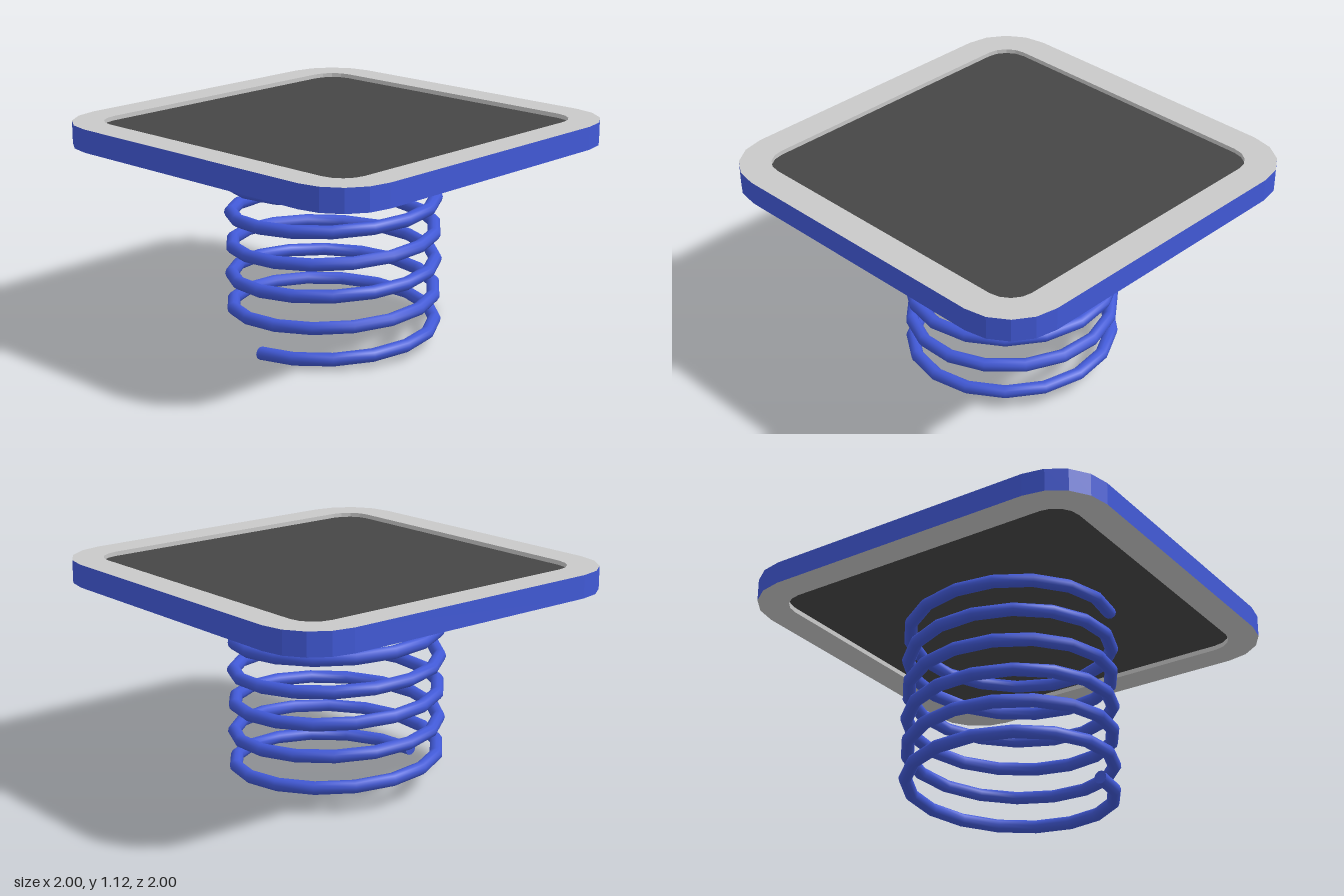
import * as THREE from 'three';

const blue = new THREE.MeshStandardMaterial({ color: 0x4159d6 });
blue.name = 'blue';
const lightGrey = new THREE.MeshStandardMaterial({ color: 0xc8c8c8 });
lightGrey.name = 'lightGrey';
const darkGrey = new THREE.MeshStandardMaterial({ color: 0x464646 });
darkGrey.name = 'darkGrey';

// Points of a square with rounded corners
function roundedSquare(half, radius, segments) {
  const points = [];
  for (let corner = 0; corner < 4; corner++) {
    const start = corner * Math.PI / 2;
    const cx = (corner === 0 || corner === 3 ? 1 : -1) * (half - radius);
    const cy = (corner < 2 ? 1 : -1) * (half - radius);
    for (let i = 0; i <= segments; i++) {
      const a = start + (i / segments) * Math.PI / 2;
      points.push(new THREE.Vector2(cx + radius * Math.cos(a), cy + radius * Math.sin(a)));
    }
  }
  return points;
}

// Horizontal slab from a shape, between two heights
function slab(shape, bottom, top) {
  return new THREE.ExtrudeGeometry(shape, { depth: top - bottom, bevelEnabled: false })
    .rotateX(-Math.PI / 2)
    .translate(0, bottom, 0);
}

function addMesh(parent, name, geometry, material) {
  const mesh = new THREE.Mesh(geometry, material);
  mesh.name = name;
  parent.add(mesh);
  return mesh;
}

// Rising helix that starts at the front
class Helix extends THREE.Curve {
  constructor(radius, bottom, pitch, turns) {
    super();
    Object.assign(this, { radius, bottom, pitch, turns });
  }
  getPoint(t, target = new THREE.Vector3()) {
    const a = t * this.turns * Math.PI * 2;
    return target.set(
      -0.025 + this.radius * Math.sin(a),
      this.bottom + this.pitch * this.turns * t,
      this.radius * Math.cos(a)
    );
  }
}

export function createModel() {
  const model = new THREE.Group();
  model.name = 'springPlatform';

  // Frame: grey faces and inner walls, blue outer edge
  const outline = roundedSquare(1, 0.28, 4);
  const inner = roundedSquare(0.845, 0.13, 4);
  const frameShape = new THREE.Shape(outline);
  frameShape.holes.push(new THREE.Path(inner));
  const frame = slab(frameShape, 1.015, 1.13);
  const edgeStart = frame.groups[1].start;
  const edgeCount = outline.length * 6;
  const total = frame.attributes.position.count;
  frame.clearGroups();
  frame.addGroup(0, edgeStart, 0);
  frame.addGroup(edgeStart, edgeCount, 1);
  frame.addGroup(edgeStart + edgeCount, total - edgeStart - edgeCount, 0);
  addMesh(model, 'frame', frame, [lightGrey, blue]);

  // Recessed panel
  addMesh(model, 'panel', slab(new THREE.Shape(inner), 1.04, 1.108), darkGrey);

  // Coil spring with closed ends
  const wire = 0.033;
  const helix = new Helix(0.513, 0.037, 0.16, 6.06);
  const spring = new THREE.Group();
  spring.name = 'spring';
  model.add(spring);
  addMesh(spring, 'coil', new THREE.TubeGeometry(helix, 100, wire, 10, false), blue);
  for (const [t, name, sign] of [[0, 'lowerEnd', -1], [1, 'upperEnd', 1]]) {
    const cap = addMesh(spring, name, new THREE.CircleGeometry(wire, 10), blue);
    cap.position.copy(helix.getPointAt(t));
    const outward = helix.getTangentAt(t).multiplyScalar(sign);
    cap.quaternion.setFromUnitVectors(new THREE.Vector3(0, 0, 1), outward);
  }

  return model;
}
